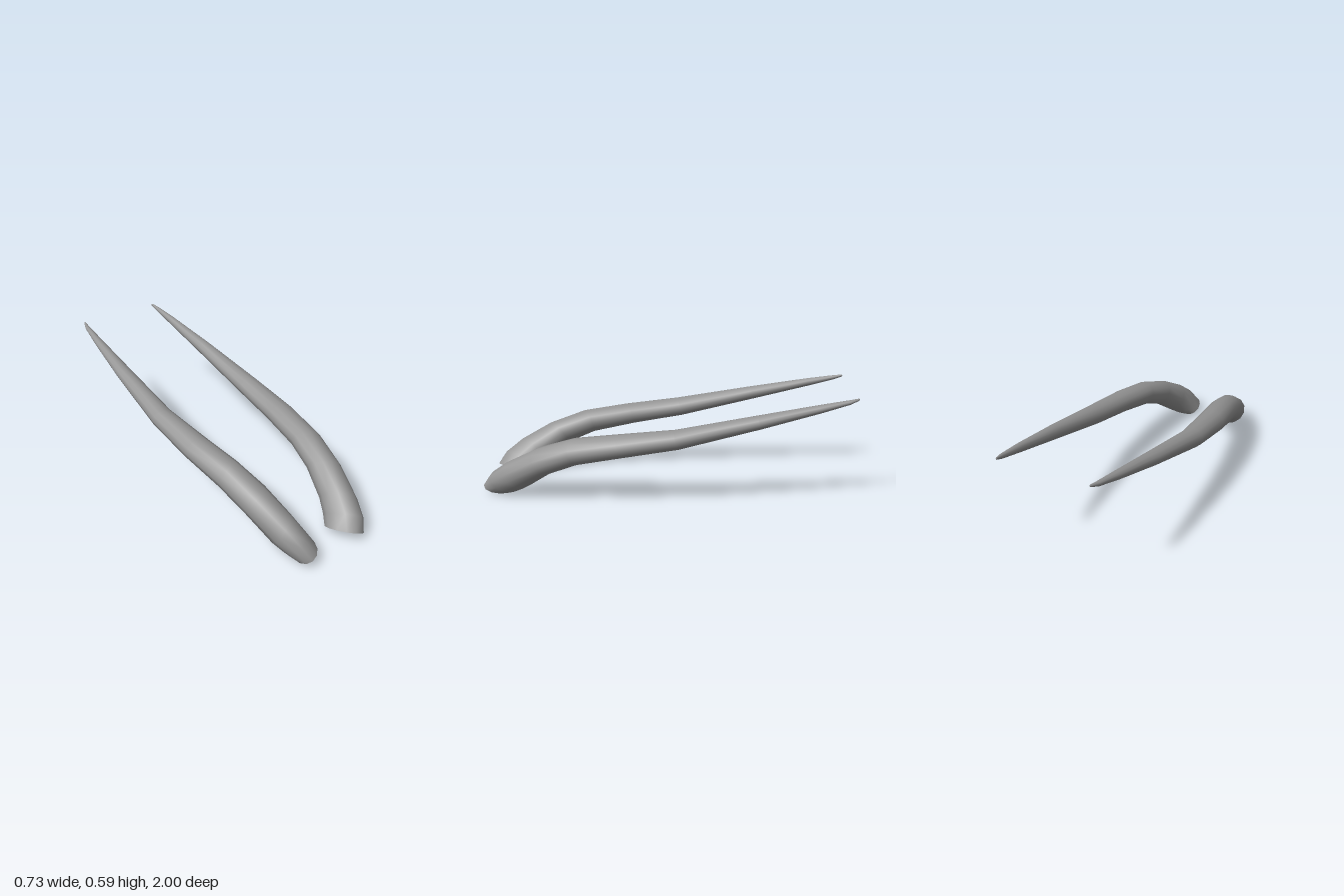
import * as THREE from 'three';

const SIDES = 12;

// Cross-sections from root to tip: centre, sideways half-axis, upward half-axis
const RINGS = [
  [[0.134, 0.028, 0.908], [0.069, -0.013, 0.042], [0, 0.025, 0.082]],
  [[0.165, 0.073, 0.865], [0.07, -0.018, 0.048], [0, 0.05, 0.078]],
  [[0.194, 0.125, 0.795], [0.072, -0.025, 0.048], [0, 0.066, 0.06]],
  [[0.233, 0.22, 0.64], [0.077, -0.022, 0.035], [0, 0.06, 0.05]],
  [[0.263, 0.285, 0.465], [0.076, -0.012, 0.028], [0, 0.065, 0.025]],
  [[0.288, 0.328, 0.22], [0.075, -0.005, 0.015], [0, 0.058, 0.02]],
  [[0.299, 0.371, -0.07], [0.063, 0, 0.006], [0, 0.051, 0.012]],
  [[0.283, 0.465, -0.49], [0.043, 0, 0], [0, 0.036, 0.008]],
  [[0.265, 0.535, -0.8], [0.024, 0, 0], [0, 0.022, 0.004]],
  [[0.253, 0.569, -0.95], [0.013, 0, 0], [0, 0.012, 0.002]],
  [[0.245, 0.582, -0.995], [0.005, 0, 0], [0, 0.006, 0.001]],
];
const TIP = [0.243, 0.585, -1];

// Loft a tapering tube, open at the root; side = 1 for left, -1 for right
function hornGeometry(side) {
  const positions = [];
  const index = [];
  const tri = (a, b, c) => (side > 0 ? index.push(a, b, c) : index.push(a, c, b));

  for (const [centre, across, up] of RINGS) {
    for (let j = 0; j < SIDES; j++) {
      const a = (j / SIDES) * Math.PI * 2;
      const p = centre.map((v, k) => v + across[k] * Math.cos(a) + up[k] * Math.sin(a));
      positions.push(side * p[0], p[1], p[2]);
    }
  }
  positions.push(side * TIP[0], TIP[1], TIP[2]);

  const tipIndex = RINGS.length * SIDES;
  for (let i = 0; i < RINGS.length; i++) {
    for (let j = 0; j < SIDES; j++) {
      const a = i * SIDES + j;
      const b = i * SIDES + ((j + 1) % SIDES);
      if (i === RINGS.length - 1) {
        tri(a, tipIndex, b);
      } else {
        tri(a, a + SIDES, b);
        tri(b, a + SIDES, b + SIDES);
      }
    }
  }

  const geometry = new THREE.BufferGeometry();
  geometry.setAttribute('position', new THREE.Float32BufferAttribute(positions, 3));
  geometry.setIndex(index);
  geometry.computeVertexNormals();
  return geometry;
}

export function createModel() {
  const model = new THREE.Group();
  model.name = 'horns';
  const material = new THREE.MeshStandardMaterial({ color: 0x959595, side: THREE.DoubleSide });

  // Mirrored pair
  for (const [name, side] of [['leftHorn', 1], ['rightHorn', -1]]) {
    const horn = new THREE.Mesh(hornGeometry(side), material);
    horn.name = name;
    model.add(horn);
  }
  return model;
}
